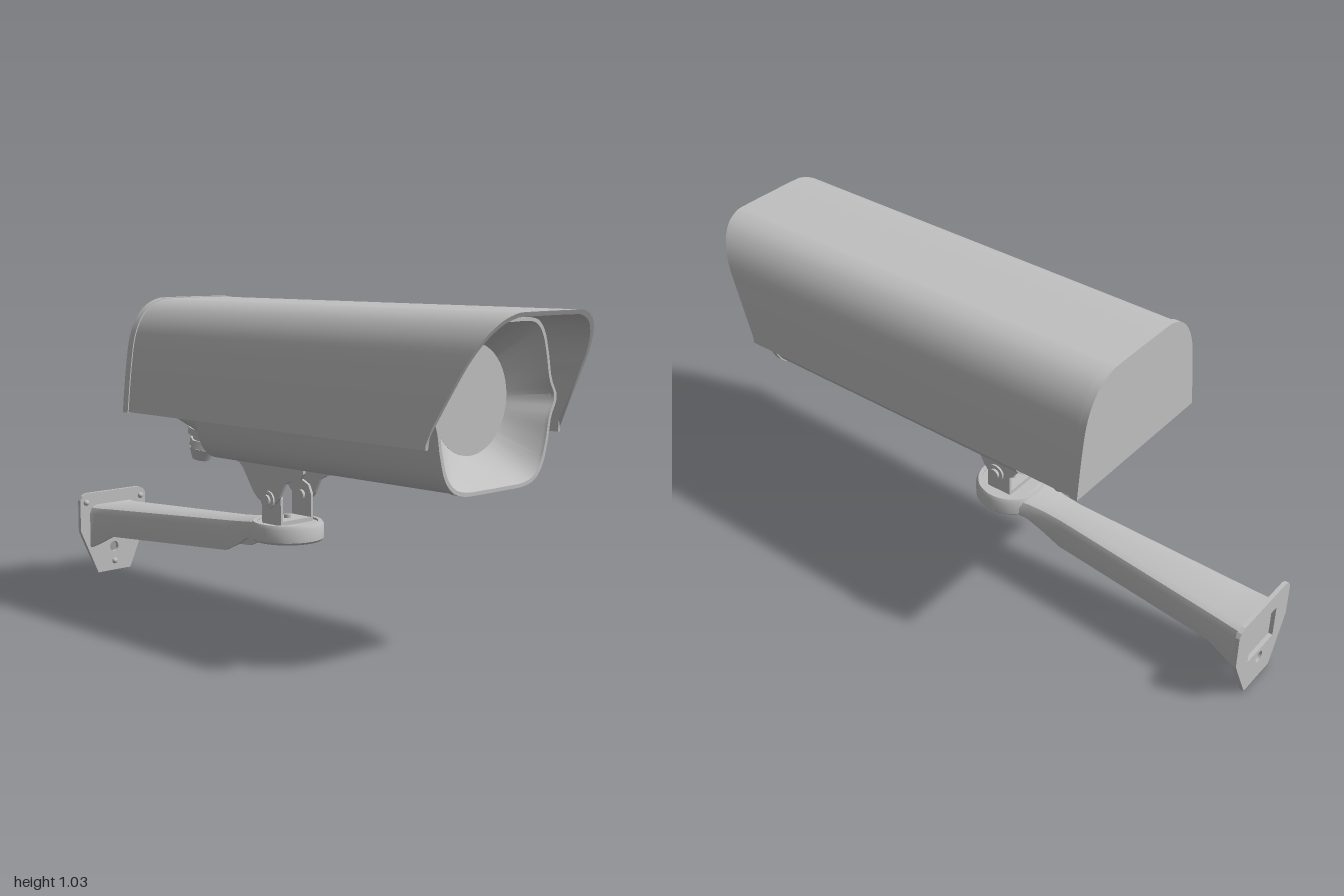
import * as THREE from 'three';
import { toCreasedNormals } from 'three/addons/utils/BufferGeometryUtils.js';

const V2 = (p) => new THREE.Vector2(p[0], p[1]);
const mirrored = (half) => [...half.map(([z, y]) => [-z, y]), ...[...half].reverse()];

// Skin a row of closed rings; each ring is a list of [x, y, z]
function loft(rings, capStart = false, capEnd = false) {
  const n = rings[0].length, pos = rings.flat(2), idx = [];
  for (let i = 0; i < rings.length - 1; i++)
    for (let j = 0; j < n; j++) {
      const a = i * n + j, b = i * n + (j + 1) % n;
      idx.push(a, b, a + n, b, b + n, a + n);
    }
  const cap = (r, flip) => {
    const c = pos.length / 3, ring = rings[r];
    pos.push(...[0, 1, 2].map((k) => ring.reduce((s, p) => s + p[k], 0) / n));
    for (let j = 0; j < n; j++) {
      const a = r * n + j, b = r * n + (j + 1) % n;
      idx.push(c, ...(flip ? [a, b] : [b, a]));
    }
  };
  if (capStart) cap(0, true);
  if (capEnd) cap(rings.length - 1, false);
  // the ring runs clockwise around +x, so flip the caps to match the skin
  const g = new THREE.BufferGeometry();
  g.setAttribute('position', new THREE.Float32BufferAttribute(pos, 3));
  g.setIndex(idx);
  return toCreasedNormals(g, 0.6);
}

// Extrude an outline along z, or along x when the outline is given as [z, y]
function extrude(pts, depth, alongX = false, holes = []) {
  const s = new THREE.Shape(pts.map(V2));
  s.holes.push(...holes);
  const g = new THREE.ExtrudeGeometry(s, { depth, bevelEnabled: false, curveSegments: 16 });
  if (alongX) g.rotateY(Math.PI / 2);
  return g;
}

export function createModel() {
  const root = new THREE.Group();
  const grey = new THREE.MeshStandardMaterial({ color: 0xc0c0c0, side: THREE.DoubleSide });
  const add = (name, geo, x = 0, y = 0, z = 0, parent = root) => {
    const m = new THREE.Mesh(geo, grey);
    m.name = name;
    m.position.set(x, y, z);
    parent.add(m);
    return m;
  };
  const cyl = (r1, r2, h, n = 20) => new THREE.CylinderGeometry(r1, r2, h, n);

  // Sun hood: arched shell with a raked front edge
  const hoodHalf = [[0.303, 0.66], [0.295, 0.74], [0.284, 0.83], [0.27, 0.905], [0.245, 0.962],
    [0.205, 1.005], [0.155, 1.027], [0.1, 1.031]];
  const arch = new THREE.SplineCurve(mirrored(hoodHalf).map(V2)).getPoints(56).map((p) => [p.x, p.y]);
  const scaled = (k) => arch.map(([z, y]) => [z * k, 0.66 + (y - 0.66) * k]);
  const hood = extrude([...arch, ...scaled(0.965).reverse()], 1, true);
  const hp = hood.attributes.position;
  for (let i = 0; i < hp.count; i++) {
    const rake = Math.max(0, hp.getY(i) - 0.69) / 0.341;
    hp.setX(i, hp.getX(i) < 0.5 ? -0.5 : Math.min(1, 0.815 + 0.185 * rake));
  }
  add('sunHood', toCreasedNormals(hood, 0.6));
  add('hoodBackCap', toCreasedNormals(extrude(scaled(1.014), 0.026, true), 0.6), -0.512, -0.002);
  for (const s of [-1, 1]) add('hoodRail', new THREE.BoxGeometry(1.25, 0.025, 0.006), 0.17, 1.009, s * 0.008);

  // Housing: rounded eight-sided tube
  const bodyHalf = [[0.06, 0.515], [0.13, 0.517], [0.18, 0.532], [0.215, 0.57], [0.238, 0.64], [0.252, 0.71],
    [0.258, 0.765], [0.25, 0.82], [0.232, 0.9], [0.212, 0.96], [0.185, 0.99], [0.15, 1], [0.06, 1]];
  const smoothRing = (half) => new THREE.CatmullRomCurve3(
    mirrored(half).map(([z, y]) => new THREE.Vector3(0, y, z)), true).getPoints(80).slice(0, 80);
  const bodyRing = smoothRing(bodyHalf);
  const section = (x, kz = 1, bottom = 0.515, ring = bodyRing) =>
    ring.map((p) => [x, 1 + (p.y - 1) * (1 - bottom) / 0.485, p.z * kz]);
  add('housing', loft([section(-0.22), section(0.8)], true));
  add('housingRear', loft([section(-0.5, 0.88, 0.65), section(-0.4, 0.92, 0.622),
    section(-0.26, 0.94, 0.575), section(-0.215, 0.94, 0.565)], true));

  // Front bezel with side ears, funnelling in to a round window
  const earHalf = bodyHalf.map(([z, y]) => [z + (Math.abs(y - 0.765) < 0.01 ? 0.022 : 0.003), y]);
  const earRing = smoothRing(earHalf);
  const cy = 0.77, R = 0.163;
  const inset = (x, k) => earRing.map((p) => [x, cy + (p.y - cy) * k, p.z * k]);
  const circle = (x) => earRing.map((p) => {
    const d = Math.hypot(p.y - cy, p.z);
    return [x, cy + (p.y - cy) * R / d, p.z * R / d];
  });
  add('frontBezel', loft([inset(0.796, 0.97), inset(0.796, 1.008), inset(0.815, 1.008),
    inset(0.815, 0.965), inset(0.805, 0.95), circle(0.72)]));
  const pane = new THREE.CircleGeometry(R, 48);
  pane.rotateY(Math.PI / 2);
  add('window', pane, 0.721, cy, 0);

  // Cable glands under the sloping rear
  for (const s of [-1, 1]) {
    const gland = new THREE.Group();
    gland.name = 'cableGland';
    gland.position.set(-0.312, 0.605, s * 0.12);
    gland.rotation.z = -0.2;
    root.add(gland);
    add('glandFlange', cyl(0.055, 0.055, 0.022), 0, -0.008, 0, gland);
    add('glandNeck', cyl(0.036, 0.036, 0.03), 0, -0.03, 0, gland);
    add('glandNut', cyl(0.047, 0.047, 0.03, 6), 0, -0.052, 0, gland);
    add('glandDome', cyl(0.044, 0.03, 0.04), 0, -0.085, 0, gland);
  }

  // Tilt clevis below the housing
  const cheek = [[-0.19, 0.52], [-0.19, 0.51], [-0.165, 0.49], [-0.11, 0.41], [-0.09, 0.392], [-0.04, 0.375],
    [-0.01, 0.383], [0.01, 0.405], [0.035, 0.452], [0.06, 0.465], [0.105, 0.475], [0.12, 0.495], [0.12, 0.52]];
  add('clevisPlate', new THREE.BoxGeometry(0.31, 0.014, 0.17), -0.035, 0.511, 0);
  for (const x of [-0.13, 0.06]) add('clevisScrew', cyl(0.016, 0.016, 0.014, 12), x, 0.5, 0);
  // Swivel yoke on the arm
  const ear = [[-0.085, 0.315], [0.005, 0.315], [0.005, 0.4], [-0.008, 0.43], [-0.04, 0.445], [-0.072, 0.43], [-0.085, 0.4]];
  add('yokeBase', new THREE.BoxGeometry(0.09, 0.014, 0.14), -0.04, 0.318, 0);
  add('yokeScrew', cyl(0.012, 0.012, 0.014, 12), -0.04, 0.33, 0);
  for (const s of [-1, 1]) {
    add('clevisCheek', extrude(cheek, 0.01), 0, 0, s * 0.08 - 0.005);
    add('yokeCheek', extrude(ear, 0.01), 0, 0, s * 0.068 - 0.005);
    add('tiltBolt', cyl(0.018, 0.018, 0.048, 12), -0.04, 0.394, s * 0.077).rotation.x = Math.PI / 2;
    add('tiltWasher', cyl(0.03, 0.03, 0.008), -0.04, 0.394, s * 0.088).rotation.x = Math.PI / 2;
  }

  // Ring at the arm's end, with a floor for the yoke
  const ringPts = [[0.1, 0.255], [0.114, 0.255], [0.12, 0.262], [0.12, 0.305], [0.113, 0.317],
    [0.1, 0.317], [0.1, 0.255]].map(V2);
  add('armRing', toCreasedNormals(new THREE.LatheGeometry(ringPts, 48), 0.6), -0.04);
  add('ringFloor', cyl(0.105, 0.105, 0.012, 40), -0.04, 0.304, 0);

  // Arm: channel open below; rows are x, half width, top, bottom
  const armRows = [[-0.987, 0.108, 0.258, 0.1], [-0.96, 0.101, 0.257, 0.112], [-0.87, 0.095, 0.263, 0.155],
    [-0.28, 0.062, 0.3, 0.19], [-0.21, 0.064, 0.306, 0.222], [-0.16, 0.073, 0.313, 0.25], [-0.128, 0.08, 0.315, 0.257]];
  add('arm', loft(armRows.map(([x, w, t, b]) => {
    const outer = mirrored([[w, b], [w, t - 0.03], [w - 0.009, t - 0.009], [w - 0.03, t]]);
    const inner = mirrored([[w - 0.012, b], [w - 0.012, t - 0.03], [w - 0.03, t - 0.013]]).reverse();
    return [...outer, ...inner].map(([z, y]) => [x, y, z]);
  })));

  // Wall plate with a cable hole and a recessed panel
  const hole = new THREE.Path().absarc(0, 0.09, 0.019, 0, Math.PI * 2, true);
  const recess = new THREE.Path([[-0.075, 0.125], [-0.075, 0.24], [0.075, 0.24], [0.075, 0.125]].map(V2));
  const plate = mirrored([[0.074, 0], [0.15, 0.165], [0.15, 0.28], [0.14, 0.295], [0.12, 0.304]]);
  add('wallPlate', extrude(plate, 0.014, true, [hole, recess]), -1, 0, 0);
  add('recessPanel', new THREE.BoxGeometry(0.006, 0.13, 0.165), -0.983, 0.183, 0);
  for (const [y, z] of [[0.035, 0], [0.27, 0.125], [0.27, -0.125]])
    add('wallScrew', new THREE.SphereGeometry(0.011, 12, 8), -0.984, y, z);

  return root;
}
